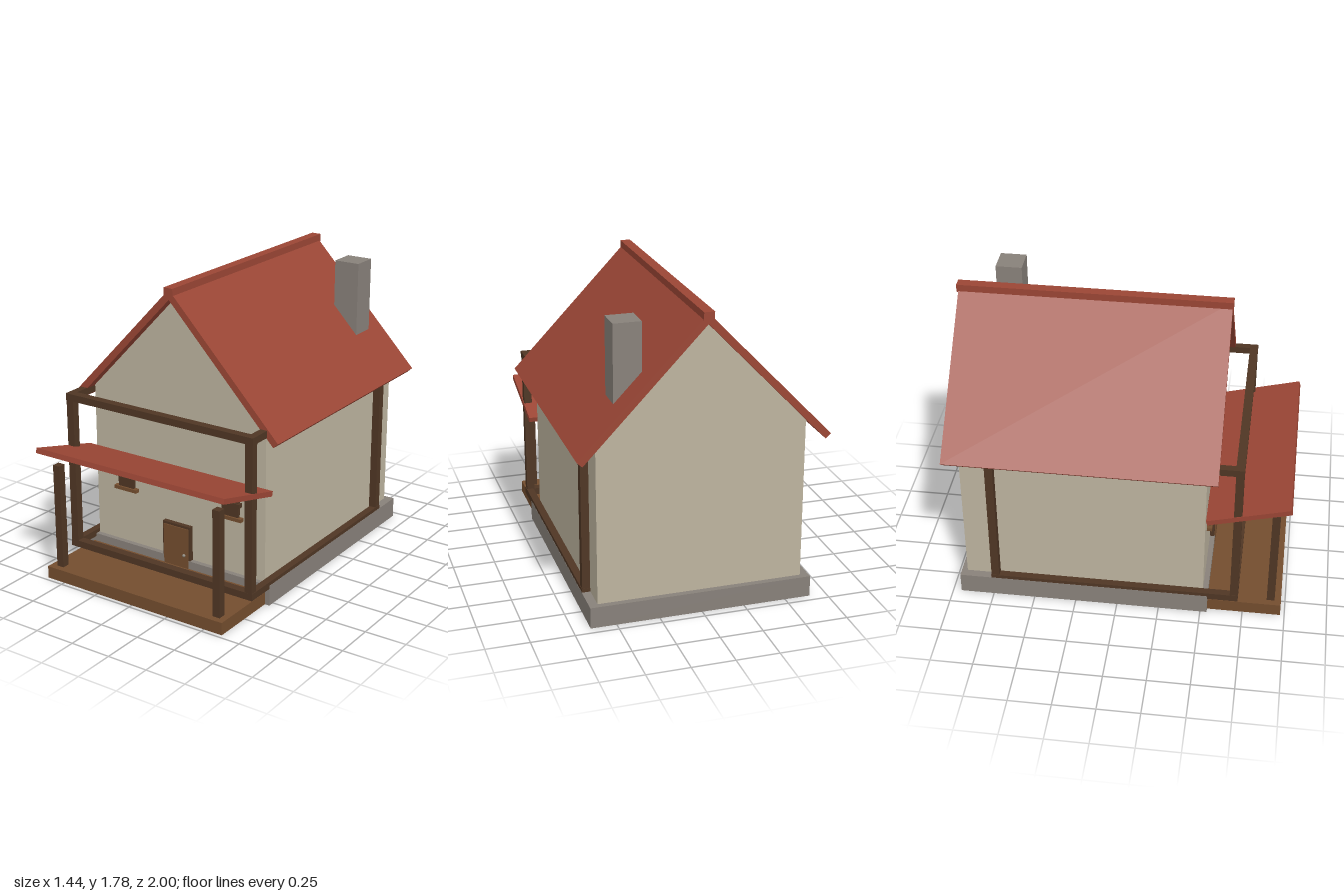
import * as THREE from 'three';

const mat = (name, color) => {
  const m = new THREE.MeshStandardMaterial({ color });
  m.name = name;
  return m;
};

export function createModel() {
  const house = new THREE.Group();
  house.name = 'house';
  const plaster = mat('plaster', 0xbdb49f);
  const tile = mat('roofTile', 0x9b4635);
  const timber = mat('darkTimber', 0x4f3624);
  const plank = mat('plank', 0x734d2e);
  const stone = mat('stone', 0x88817a);
  const metal = mat('metal', 0x8a8378);

  const add = (name, geometry, material) => {
    const mesh = new THREE.Mesh(geometry, material);
    mesh.name = name;
    house.add(mesh);
    return mesh;
  };
  // Box given by its extents on each axis
  const box = (name, material, [x0, x1], [y0, y1], [z0, z1]) => {
    const mesh = add(name, new THREE.BoxGeometry(x1 - x0, y1 - y0, z1 - z0), material);
    mesh.position.set((x0 + x1) / 2, (y0 + y1) / 2, (z0 + z1) / 2);
    return mesh;
  };
  // Outline in x and y, extruded along z
  const prism = (name, material, points, z0, z1) => {
    const shape = new THREE.Shape(points.map(([x, y]) => new THREE.Vector2(x, y)));
    const geometry = new THREE.ExtrudeGeometry(shape, { depth: z1 - z0, bevelEnabled: false });
    return add(name, geometry.translate(0, 0, z0), material);
  };

  // Body
  box('foundation', stone, [-0.65, 0.65], [0, 0.125], [-0.95, 0.54]);
  box('walls', plaster, [-0.6, 0.6], [0.125, 1.07], [-0.915, 0.51]);
  prism('gable', plaster, [[-0.6, 1.07], [0.6, 1.07], [0.6, 1.08], [0, 1.708], [-0.6, 1.08]], -0.92, 0.512);

  // Main roof
  for (const s of [-1, 1]) {
    prism(s > 0 ? 'leftRoofSlope' : 'rightRoofSlope', tile,
      [[0, 1.707], [s * 0.69, 0.985], [s * 0.72, 1.013], [0, 1.766]], -0.99, 0.58);
  }
  box('ridgeCap', tile, [-0.03, 0.03], [1.73, 1.776], [-1, 0.586]);
  box('chimney', stone, [0.32, 0.48], [1.2, 1.71], [-0.847, -0.69]);

  // Timber frame
  for (const y of [0.105, 1.035]) {
    for (const z of [-0.76, 0.67]) box('crossBeam', timber, [-0.649, 0.649], [y, y + 0.042], [z, z + 0.05]);
    for (const s of [-1, 1]) {
      const x = s > 0 ? [0.605, 0.649] : [-0.649, -0.605];
      box('sideBeam', timber, x, [y, y + 0.042], [-0.76, 0.72]);
    }
  }
  for (const s of [-1, 1]) {
    const x = s > 0 ? [0.598, 0.646] : [-0.646, -0.598];
    for (const z of [-0.758, 0.672]) box('framePost', timber, x, [0.11, 1.07], [z, z + 0.047]);
  }

  // Porch
  box('porchDeck', plank, [-0.62, 0.62], [0, 0.075], [0.535, 0.975]);
  for (const s of [-1, 1]) {
    box('porchPost', timber, [s * 0.557 - 0.023, s * 0.557 + 0.023], [0.075, 0.715], [0.89, 0.937]);
  }
  const canopy = box('porchRoof', tile, [-0.65, 0.65], [0.732, 0.763], [0.511, 1.004]);
  canopy.rotation.x = -0.257;

  // Door
  box('doorFrame', timber, [-0.097, 0.097], [0.11, 0.341], [0.505, 0.538]);
  box('doorPanel', plank, [-0.087, 0.087], [0.01, 0.326], [0.505, 0.544]);
  const knob = add('doorKnob', new THREE.SphereGeometry(0.01, 12, 8), metal);
  knob.position.set(0.06, 0.157, 0.548);

  // Shuttered windows
  for (const s of [-1, 1]) {
    const across = (width) => [s * 0.372 - width / 2, s * 0.372 + width / 2];
    box('windowShutter', timber, across(0.11), [0.48, 0.636], [0.505, 0.53]);
    box('windowBar', timber, across(0.14), [0.548, 0.573], [0.505, 0.541]);
    box('windowSill', plank, across(0.162), [0.463, 0.484], [0.505, 0.541]);
  }
  return house;
}
